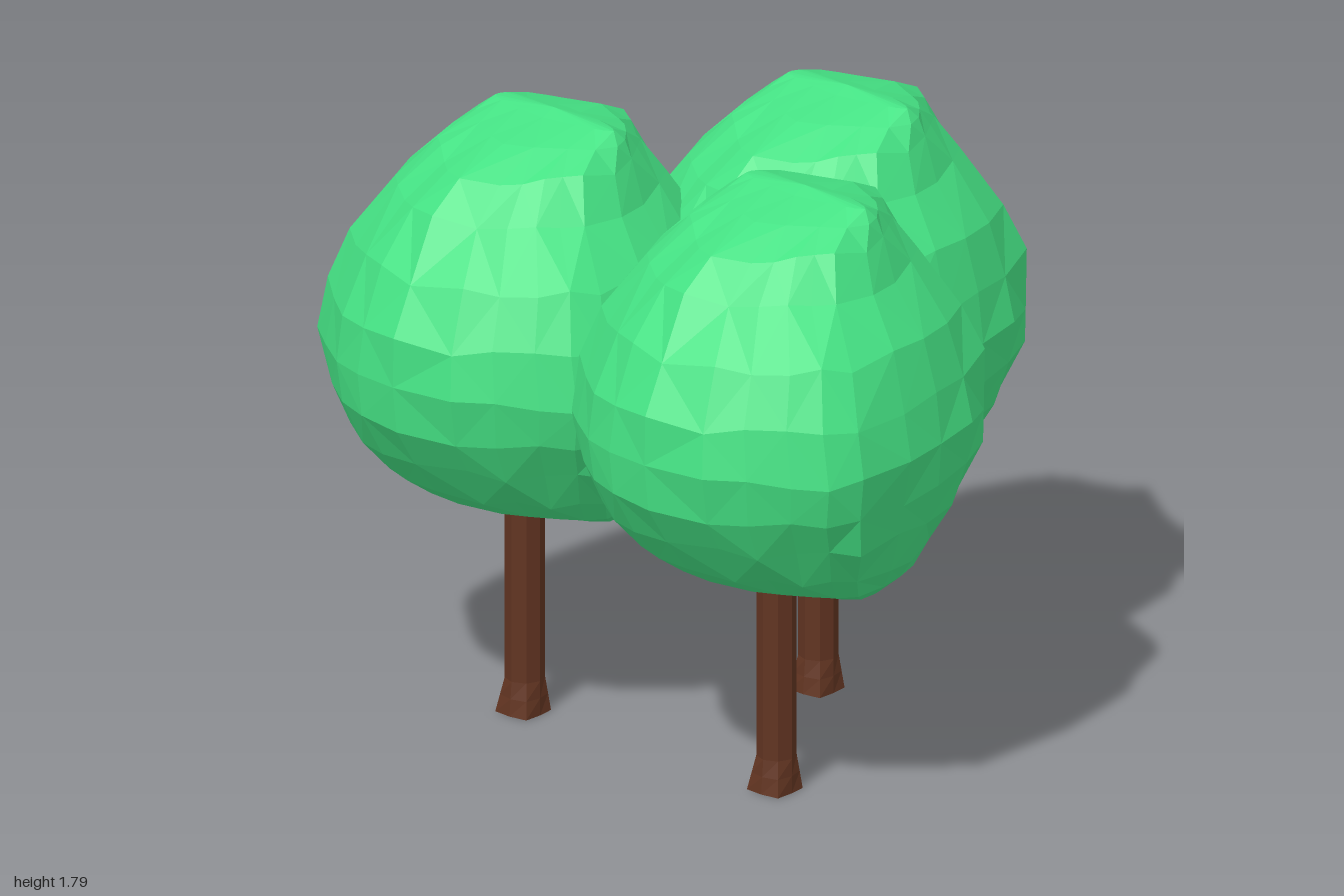
import * as THREE from 'three';

const leafMaterial = new THREE.MeshStandardMaterial({ color: 0x45e284, flatShading: true });
const barkMaterial = new THREE.MeshStandardMaterial({ color: 0x613421, flatShading: true });

// Small repeatable noise in -1..1
function makeNoise(seed) {
  let s = seed;
  return () => {
    s = (s * 16807) % 2147483647;
    return (s / 2147483647) * 2 - 1;
  };
}

// Crown: a lumpy footprint lofted through rings of varying extent
function crownGeometry() {
  // Footprint, starting at +x and turning towards +z
  const outline = [
    [1, 0.08], [1, 0.42], [0.9, 0.58], [0.75, 0.7], [0.56, 0.83], [0.36, 0.94], [0, 1],
    [-0.28, 0.96], [-0.51, 0.88], [-0.75, 0.72], [-0.95, 0.54], [-1, 0.3], [-1, 0.08],
    [-0.97, -0.2], [-0.93, -0.5], [-0.83, -0.68], [-0.62, -0.77], [-0.42, -0.84], [-0.18, -0.93],
    [0.0, -1], [0.26, -0.92], [0.5, -0.86], [0.72, -0.78], [0.88, -0.5], [0.96, -0.2],
  ];
  // Height, then the left/right and back/front limits
  const rings = [
    [0.645, -0.30, 0.29, -0.12, 0.07],
    [0.66, -0.35, 0.34, -0.24, 0.14],
    [0.70, -0.40, 0.39, -0.35, 0.28],
    [0.77, -0.435, 0.43, -0.43, 0.38],
    [0.88, -0.475, 0.48, -0.50, 0.475],
    [1.00, -0.505, 0.515, -0.57, 0.555],
    [1.12, -0.525, 0.535, -0.58, 0.575],
    [1.27, -0.49, 0.505, -0.59, 0.57],
    [1.43, -0.45, 0.455, -0.53, 0.49],
    [1.58, -0.39, 0.36, -0.475, 0.385],
    [1.68, -0.31, 0.31, -0.42, 0.285],
    [1.74, -0.25, 0.28, -0.31, 0.11],
    [1.775, -0.205, 0.25, -0.16, -0.05],
  ];
  const noise = makeNoise(17);
  const n = outline.length;
  const positions = [];
  const indices = [];
  rings.forEach(([y, x0, x1, z0, z1], r) => {
    const wobble = r > 2 && r < rings.length - 2 ? 0.016 : 0;
    // Corners draw in towards the top, except the back corner on the right
    const pinch = 0.17 * THREE.MathUtils.smoothstep(y, 1.4, 1.72);
    for (const [px, pz] of outline) {
      const corner = px < 0 && pz < 0 ? 0 : Math.abs(2 * px * pz);
      const k = 1 + wobble * (noise() - 0.1) - pinch * corner;
      positions.push(
        (x0 + x1) / 2 + px * k * (x1 - x0) / 2,
        y + noise() * wobble,
        (z0 + z1) / 2 + pz * k * (z1 - z0) / 2,
      );
    }
  });
  for (let r = 0; r < rings.length - 1; r++) {
    for (let i = 0; i < n; i++) {
      const a = r * n + i;
      const b = r * n + (i + 1) % n;
      // Alternate the diagonals so the facets do not run one way
      if ((r + i) % 2) indices.push(a, a + n, b, b, a + n, b + n);
      else indices.push(a, a + n, b + n, a, b + n, b);
    }
  }
  // Close the underside and the top
  const bottom = positions.length / 3;
  positions.push(0, 0.665, 0, 0.02, 1.792, -0.1);
  const last = (rings.length - 1) * n;
  for (let i = 0; i < n; i++) {
    const j = (i + 1) % n;
    indices.push(bottom, i, j, bottom + 1, last + j, last + i);
  }
  const geometry = new THREE.BufferGeometry();
  geometry.setAttribute('position', new THREE.Float32BufferAttribute(positions, 3));
  geometry.setIndex(indices);
  geometry.computeVertexNormals();
  return geometry;
}

// Trunk: an eight-sided post whose foot flares into uneven roots
function trunkGeometry() {
  const height = 0.75;
  const geometry = new THREE.CylinderGeometry(0.057, 0.057, height, 8, 15);
  geometry.translate(0, height / 2, 0);
  const p = geometry.attributes.position;
  for (let i = 0; i < p.count; i++) {
    const y = p.getY(i);
    const flare = Math.max(0, 1 - y / 0.1);
    const angle = Math.atan2(p.getZ(i), p.getX(i));
    const k = 1 + flare * (0.22 - 0.16 * Math.cos(4 * angle) + 0.06 * Math.cos(angle - 2));
    p.setX(i, p.getX(i) * k + 0.003 * flare);
    p.setZ(i, p.getZ(i) * k + 0.006 * flare);
  }
  geometry.computeVertexNormals();
  return geometry;
}

export function createModel() {
  const model = new THREE.Group();
  model.name = 'treeCluster';
  const crown = crownGeometry();
  const trunk = trunkGeometry();

  const places = [
    ['frontRightTree', -0.475, 0.345],
    ['frontLeftTree', 0.463, 0.345],
    ['backTree', 0.033, -0.33],
  ];
  for (const [name, x, z] of places) {
    const tree = new THREE.Group();
    tree.name = name;
    const crownMesh = new THREE.Mesh(crown, leafMaterial);
    crownMesh.name = 'crown';
    const trunkMesh = new THREE.Mesh(trunk, barkMaterial);
    trunkMesh.name = 'trunk';
    tree.add(crownMesh, trunkMesh);
    tree.position.set(x, 0, z);
    model.add(tree);
  }
  return model;
}
